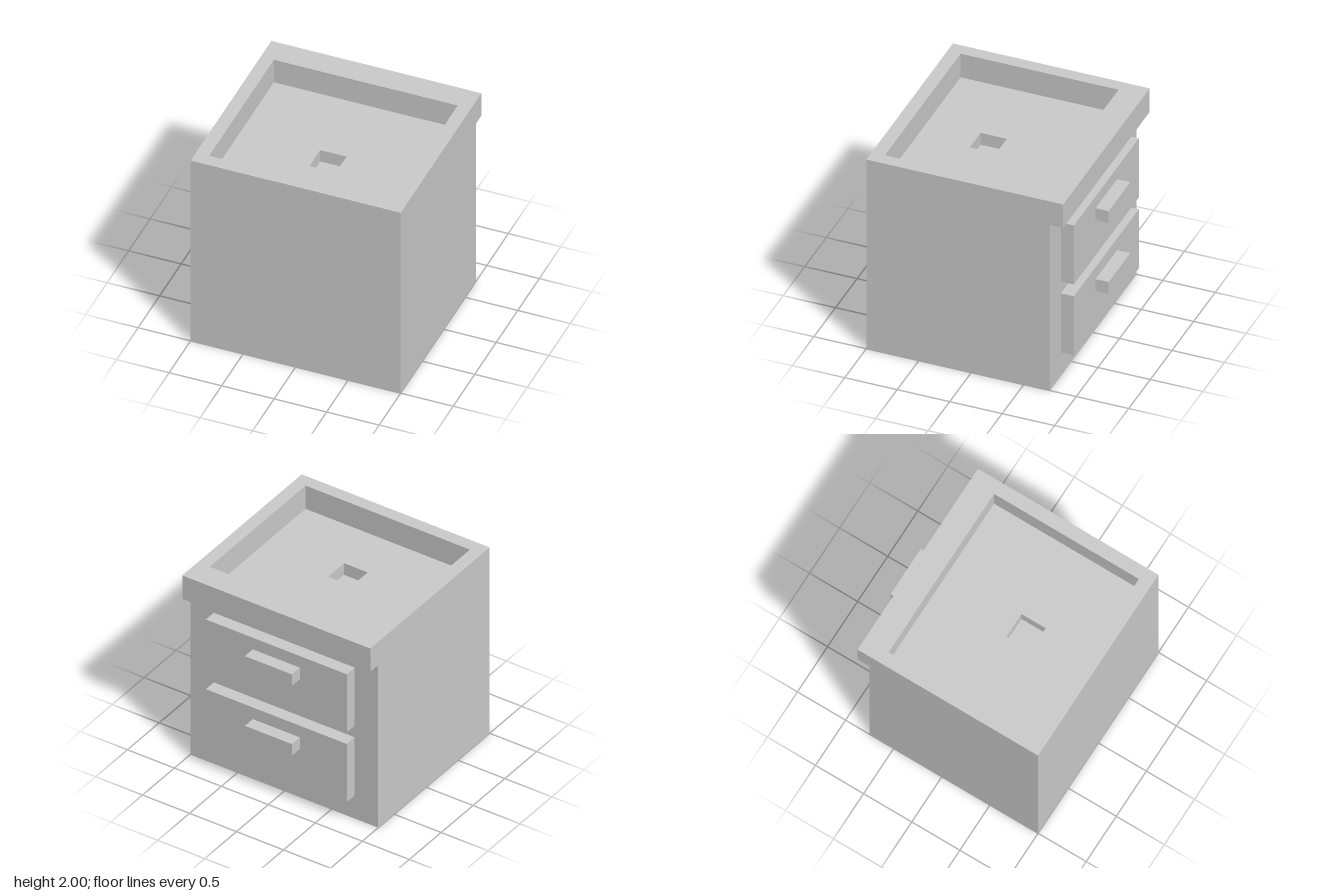
import * as THREE from 'three';

const material = new THREE.MeshStandardMaterial({ color: 0xcccccc, flatShading: true });

function add(parent, name, geometry) {
  const mesh = new THREE.Mesh(geometry, material);
  mesh.name = name;
  parent.add(mesh);
  return mesh;
}

// Box given by its limits on each axis
function block(parent, name, [x0, x1], [y0, y1], [z0, z1]) {
  const mesh = add(parent, name, new THREE.BoxGeometry(x1 - x0, y1 - y0, z1 - z0));
  mesh.position.set((x0 + x1) / 2, (y0 + y1) / 2, (z0 + z1) / 2);
}

// Rectangle in plan; shape y becomes -z once the slab is laid flat
function trace(path, [x0, x1], [z0, z1]) {
  path.moveTo(x0, -z1);
  path.lineTo(x1, -z1);
  path.lineTo(x1, -z0);
  path.lineTo(x0, -z0);
  path.closePath();
  return path;
}

// Horizontal slab with a rectangular opening
function openSlab(parent, name, [y0, y1], x, z, holeX, holeZ) {
  const shape = trace(new THREE.Shape(), x, z);
  shape.holes.push(trace(new THREE.Path(), holeX, holeZ));
  const geometry = new THREE.ExtrudeGeometry(shape, { depth: y1 - y0, bevelEnabled: false });
  geometry.rotateX(-Math.PI / 2);
  add(parent, name, geometry).position.y = y0;
}

export function createModel() {
  const model = new THREE.Group();
  model.name = 'sinkCabinet';

  // Cabinet, basin floor with square drain, and overhanging counter rim
  block(model, 'cabinet', [-1, 1], [0, 1.625], [-0.75, 1]);
  openSlab(model, 'basinFloor', [1.625, 1.75], [-1, 1], [-0.75, 1], [-0.125, 0.125], [0.125, 0.375]);
  openSlab(model, 'counterRim', [1.75, 2], [-1, 1], [-0.875, 1], [-0.875, 0.875], [-0.63, 0.875]);

  // Two drawers with bar handles
  for (const [name, y] of [['lowerDrawer', 0.25], ['upperDrawer', 1]]) {
    const drawer = new THREE.Group();
    drawer.name = name;
    drawer.position.y = y;
    block(drawer, 'drawerFront', [-0.75, 0.75], [0, 0.625], [-0.875, -0.75]);
    block(drawer, 'handle', [-0.25, 0.25], [0.375, 0.5], [-1, -0.875]);
    model.add(drawer);
  }
  return model;
}
